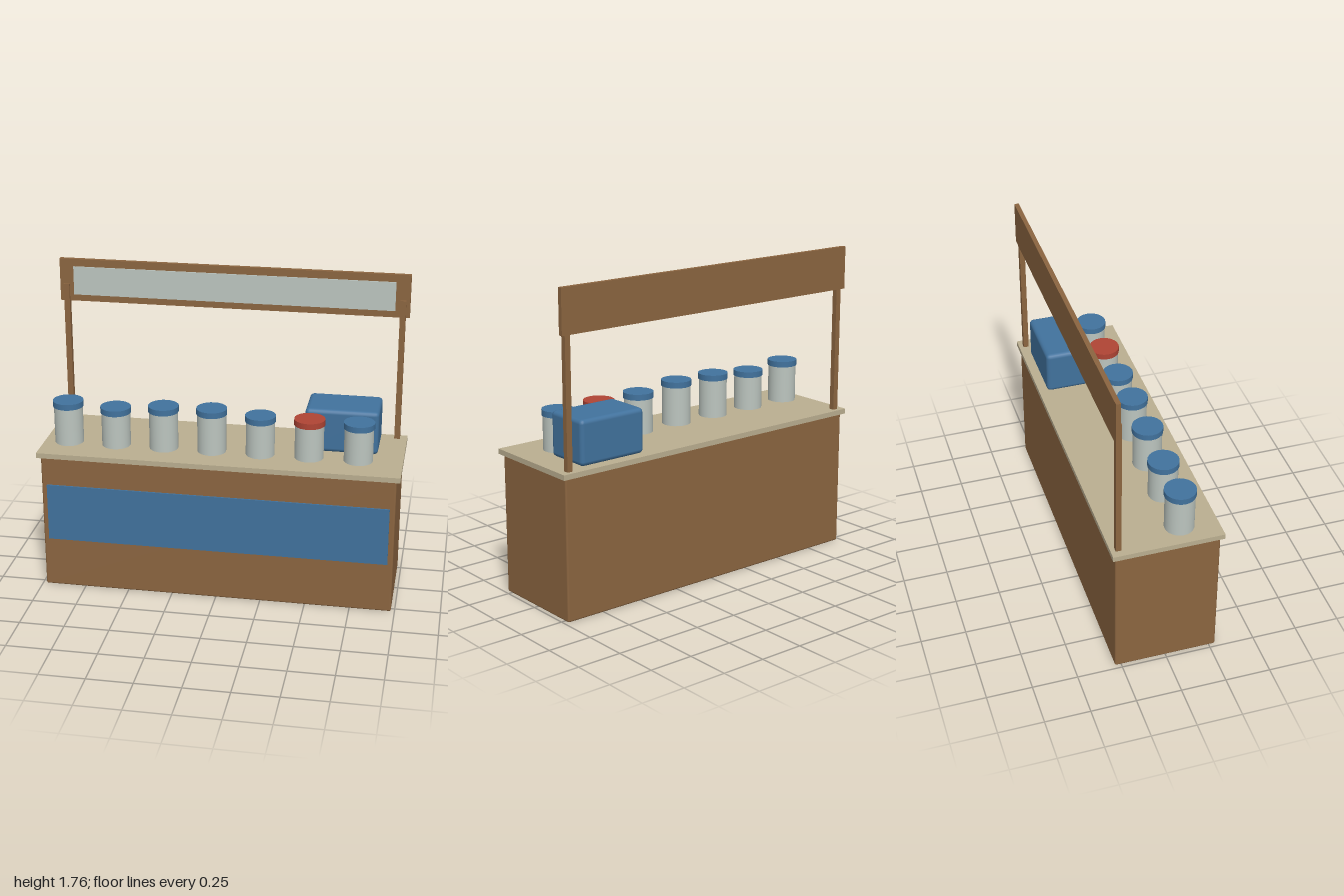
import * as THREE from 'three';
import { RoundedBoxGeometry } from 'three/addons/geometries/RoundedBoxGeometry.js';

function material(name, color) {
  const m = new THREE.MeshStandardMaterial({ color });
  m.name = name;
  return m;
}

export function createModel() {
  const wood = material('brown wood', 0x8b6540);
  const beige = material('beige worktop', 0xbaae90);
  const blue = material('blue', 0x41729d);
  const pale = material('pale grey', 0xbcc5bf);
  const red = material('red', 0xb04434);

  const model = new THREE.Group();
  model.name = 'marketStall';

  function add(name, geometry, mat, parent = model) {
    const mesh = new THREE.Mesh(geometry, mat);
    mesh.name = name;
    parent.add(mesh);
    return mesh;
  }

  // Box given by its limits on each axis; a radius rounds its edges
  function box(name, mat, [x0, x1], [y0, y1], [z0, z1], radius = 0) {
    const size = [x1 - x0, y1 - y0, z1 - z0];
    const geometry = radius
      ? new RoundedBoxGeometry(...size, 2, radius)
      : new THREE.BoxGeometry(...size);
    add(name, geometry, mat).position.set((x0 + x1) / 2, (y0 + y1) / 2, (z0 + z1) / 2);
  }

  // Counter
  box('counterBody', wood, [-0.98, 0.98], [0, 0.785], [-0.285, 0.285], 0.01);
  box('counterTop', beige, [-1, 1], [0.783, 0.812], [-0.302, 0.302]);
  box('frontPanel', blue, [-0.95, 0.95], [0.29, 0.62], [0.284, 0.2935]);

  // Posts and sign board
  for (const [name, x] of [['rightPost', -0.944], ['leftPost', 0.944]]) {
    box(name, wood, [x - 0.016, x + 0.016], [0.81, 1.62], [-0.276, -0.246]);
  }
  box('signBoard', wood, [-0.982, 0.982], [1.522, 1.764], [-0.283, -0.258]);
  box('signPanel', pale, [-0.902, 0.902], [1.56, 1.722], [-0.259, -0.25]);

  // Storage box behind the jars
  box('storageBox', blue, [0.45, 0.856], [0.812, 1.06], [-0.255, 0.015], 0.024);

  // Row of lidded jars, each with its own height
  const lidHeight = 0.033;
  [1.058, 1.038, 1.061, 1.064, 1.04, 1.038, 1.036].forEach((top, i) => {
    const jar = new THREE.Group();
    jar.name = `jar${i + 1}`;
    jar.position.set(-0.863 + i * 0.27, 0.812, 0.096);
    const bodyHeight = top - 0.812 - lidHeight;
    add('jarBody', new THREE.CylinderGeometry(0.08, 0.08, bodyHeight, 24), pale, jar)
      .position.y = bodyHeight / 2;
    add('jarLid', new THREE.CylinderGeometry(0.085, 0.085, lidHeight, 24), i === 5 ? red : blue, jar)
      .position.y = bodyHeight + lidHeight / 2;
    model.add(jar);
  });

  return model;
}
